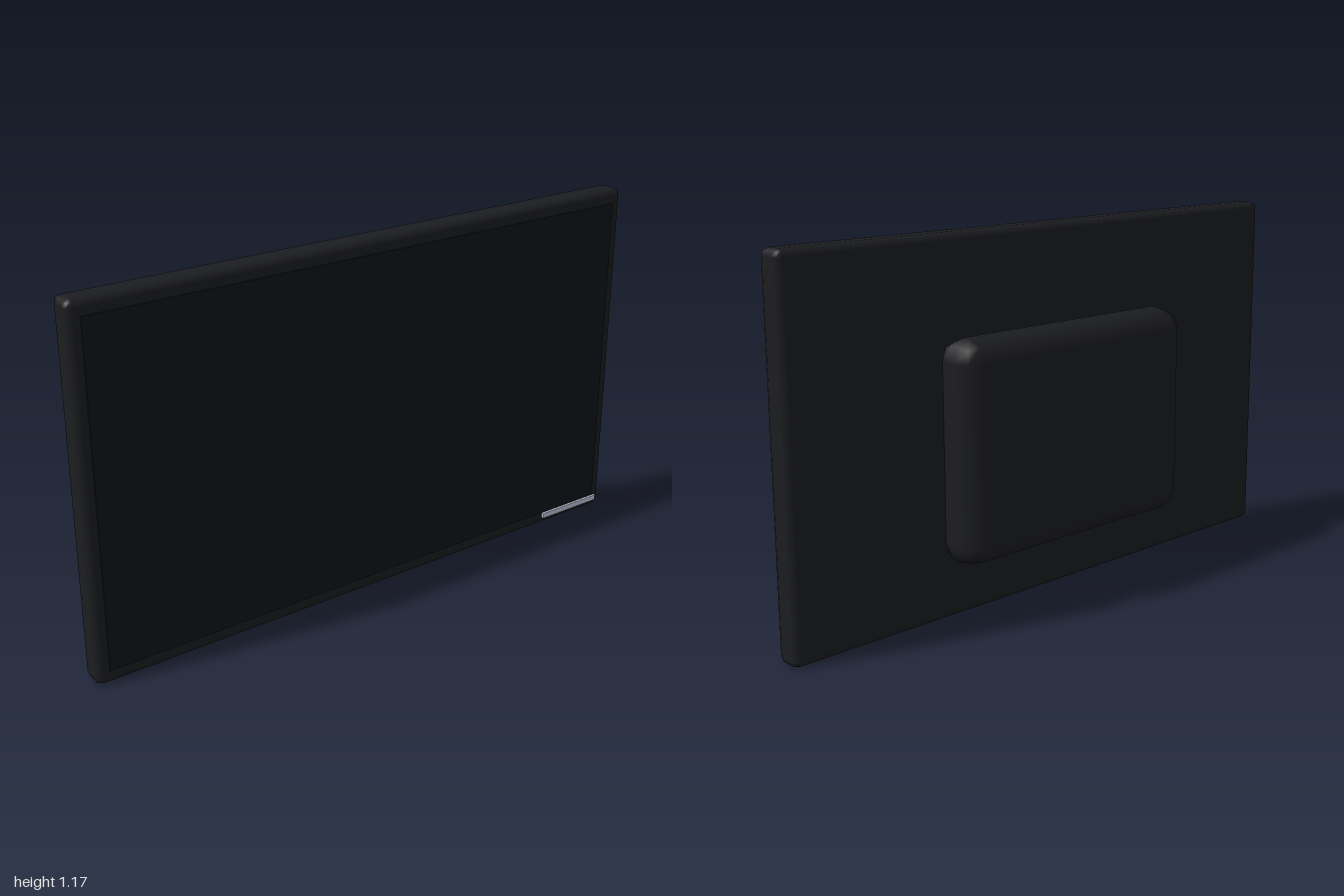
import * as THREE from 'three';
import { RoundedBoxGeometry } from 'three/addons/geometries/RoundedBoxGeometry.js';

// Add a named box spanning [x0,x1] x [y0,y1] x [z0,z1], with optional rounded edges.
function addBox(group, name, color, [x0, x1], [y0, y1], [z0, z1], radius = 0) {
  const size = [x1 - x0, y1 - y0, z1 - z0];
  const geometry = radius
    ? new RoundedBoxGeometry(...size, 1, radius)
    : new THREE.BoxGeometry(...size);
  const mesh = new THREE.Mesh(geometry, new THREE.MeshStandardMaterial({ color }));
  mesh.name = name;
  mesh.position.set((x0 + x1) / 2, (y0 + y1) / 2, (z0 + z1) / 2);
  group.add(mesh);
}

export function createModel() {
  const group = new THREE.Group();
  group.name = 'flatScreen';

  // Slim casing with softened edges
  addBox(group, 'casing', 0x1c1d20, [-1, 1], [0, 1.172], [0.018, 0.105], 0.022);

  // Display glass, slightly proud of the casing
  addBox(group, 'screen', 0x10161a, [-0.96, 0.96], [0.047, 1.125], [0.09, 0.11]);

  // Pale strip on the lower bezel
  addBox(group, 'bezelStrip', 0xc4c8dc, [0.722, 0.975], [0.024, 0.043], [0.1, 0.113]);

  // Rounded electronics housing, half sunk into the back of the casing
  addBox(group, 'rearHousing', 0x1c1d20, [-0.47, 0.47], [0.18, 0.87], [-0.112, 0.046], 0.067);

  return group;
}
